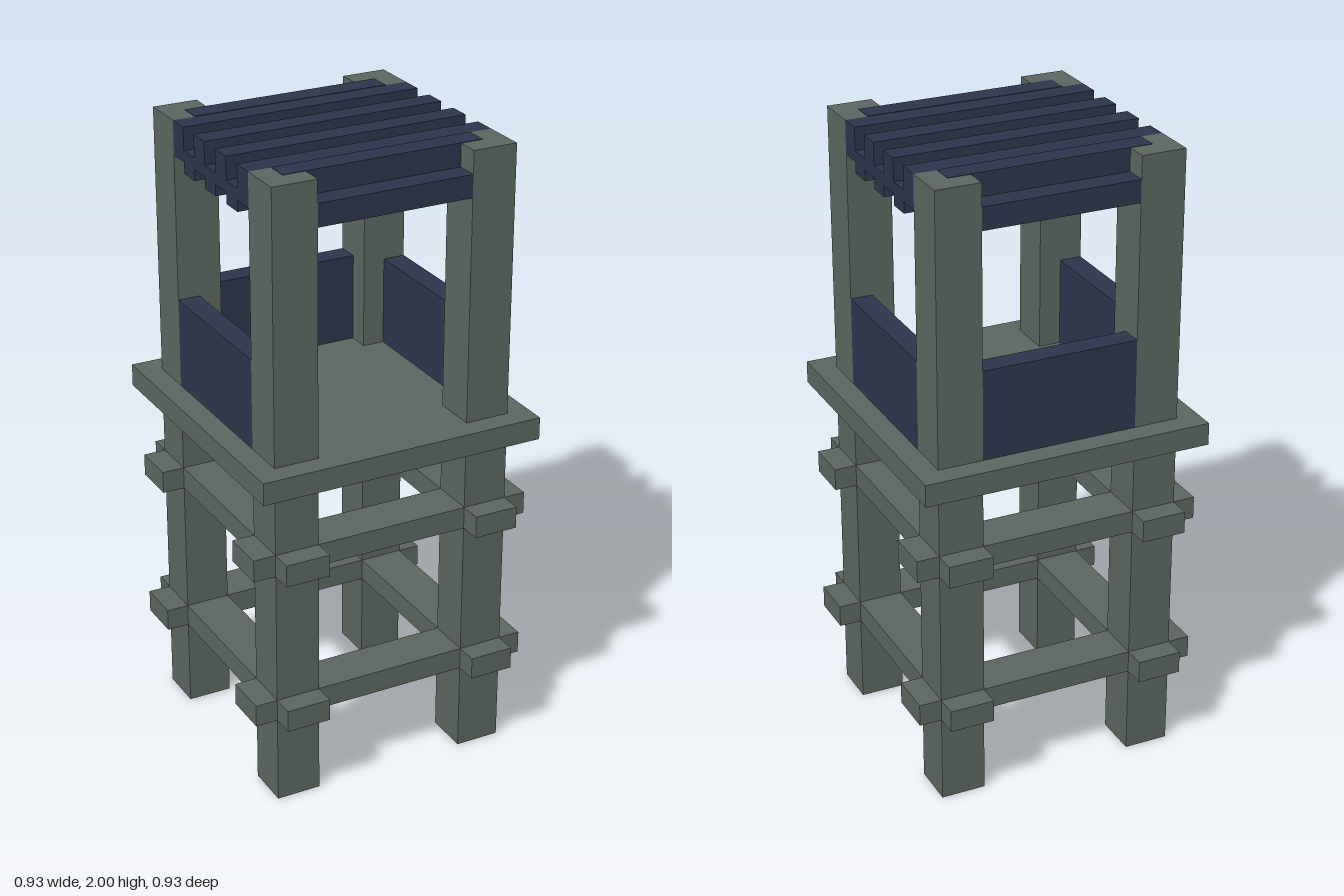
import * as THREE from 'three';

const U = 1 / 14; // modelling unit: the tower is 28 units tall

export function createModel() {
  const tower = new THREE.Group();
  tower.name = 'watchtower';
  const timber = new THREE.MeshStandardMaterial({ color: 0x5b6560 });
  timber.name = 'grey timber';
  const navy = new THREE.MeshStandardMaterial({ color: 0x2d354b });
  navy.name = 'navy boards';

  // Box given by its lower and upper corners, in modelling units
  function box(name, material, [x0, y0, z0], [x1, y1, z1]) {
    const geometry = new THREE.BoxGeometry((x1 - x0) * U, (y1 - y0) * U, (z1 - z0) * U);
    const mesh = new THREE.Mesh(geometry, material);
    mesh.position.set((x0 + x1) / 2 * U, (y0 + y1) / 2 * U, (z0 + z1) / 2 * U);
    mesh.name = name;
    tower.add(mesh);
  }
  // Box running across x, centred on x = 0, at a given middle z
  function across(name, material, halfLength, y0, y1, z, depth) {
    box(name, material, [-halfLength, y0, z - depth / 2], [halfLength, y1, z + depth / 2]);
  }

  // Four corner posts
  for (const x of [-4.5, 4.5]) {
    for (const z of [-4.5, 4.5]) {
      box('cornerPost', timber, [x - 1, 0, z - 1], [x + 1, 28, z + 1]);
    }
  }

  // Two rings of crossing beams whose ends stick out past the posts
  for (const y of [4, 11]) {
    for (const side of [-4.5, 4.5]) {
      across('crossBeam', timber, 6.5, y, y + 1, side, 2);
      box('sideBeam', timber, [side - 1, y, -6.5], [side + 1, y + 1, 6.5]);
    }
  }

  // Lookout floor
  box('platform', timber, [-6.5, 15, -6.5], [6.5, 16, 6.5]);

  // Parapet on both sides and the back; the front stays open
  for (const x of [-5, 5]) {
    box('sideParapet', navy, [x - 0.5, 16, -3.5], [x + 0.5, 20, 3.5]);
  }
  across('backParapet', navy, 3.5, 16, 20, -5, 1);

  // Lower roof slats
  for (const z of [-2, 0, 2]) across('lowerSlat', navy, 5.5, 26, 27, z, 1);
  for (const z of [-5, 5]) across('endSlat', navy, 3.5, 26, 27, z, 1);

  // Upper roof slats; the outer pair is notched around the posts
  for (const s of [-1, 1]) {
    across('upperSlat', navy, 5.5, 26.5, 28, s, 1);
    across('outerSlat', navy, 5.5, 26.5, 28, 3 * s, 1);
    across('outerSlatEdge', navy, 4.5, 26.5, 28.02, 4 * s, 1);
  }
  return tower;
}
